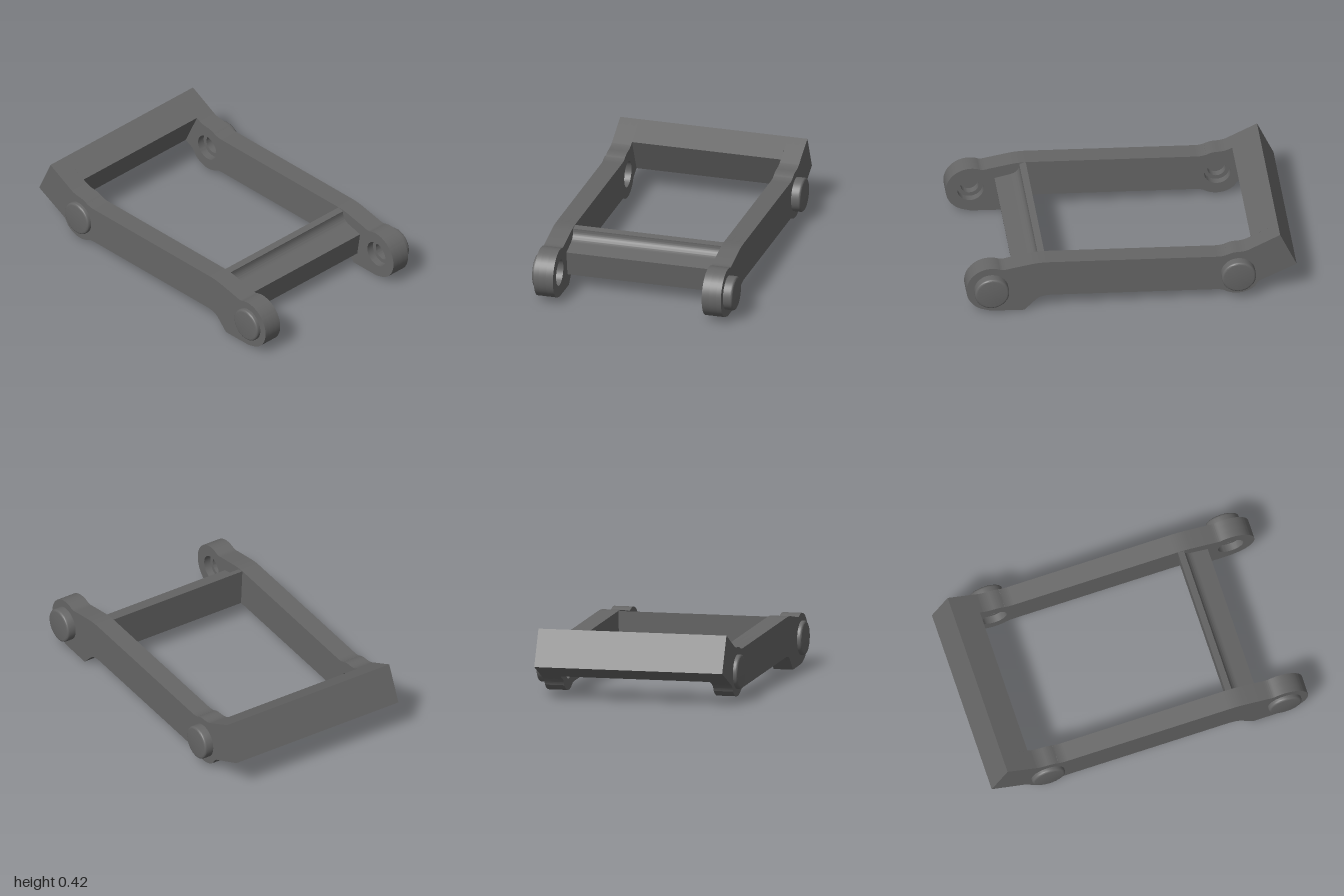
import * as THREE from 'three';
import { toCreasedNormals } from 'three/addons/utils/BufferGeometryUtils.js';

const material = new THREE.MeshStandardMaterial({ color: 0x666666, side: THREE.DoubleSide });
const PIVOT_Y = 0.167;
const PIVOTS = [-0.645, 0.85];

// Side outline of an arm, with optional round holes at both pivots
function armShape(holeRadius) {
  const s = new THREE.Shape();
  s.moveTo(-1, 0.2);
  s.lineTo(-0.78, 0.1);
  s.quadraticCurveTo(-0.76, 0.085, -0.748, 0.059);
  s.absarc(-0.645, PIVOT_Y, 0.149, 3.95, 5.2, false);
  s.quadraticCurveTo(-0.55, 0.053, -0.51, 0.054);
  s.lineTo(0.48, 0.097);
  s.quadraticCurveTo(0.55, 0.1, 0.58, 0.07);
  s.lineTo(0.65, 0);
  s.lineTo(0.85, 0.01);
  s.absarc(0.85, PIVOT_Y, 0.15, -1.35, 2.0, false);
  s.quadraticCurveTo(0.77, 0.3, 0.74, 0.308);
  s.lineTo(0.6, 0.332);
  s.quadraticCurveTo(0.55, 0.34, 0.48, 0.336);
  s.lineTo(-0.52, 0.292);
  s.quadraticCurveTo(-0.55, 0.291, -0.577, 0.3);
  s.absarc(-0.645, PIVOT_Y, 0.149, 1.1, Math.PI / 2, false);
  s.quadraticCurveTo(-0.69, 0.316, -0.72, 0.332);
  s.lineTo(-0.9, 0.42);
  s.closePath();
  if (holeRadius) {
    for (const x of PIVOTS) {
      const hole = new THREE.Path();
      hole.absarc(x, PIVOT_Y, holeRadius, 0, Math.PI * 2, true);
      s.holes.push(hole);
    }
  }
  return s;
}

function extrude(name, shape, zFrom, zTo) {
  const g = new THREE.ExtrudeGeometry(shape, { depth: zTo - zFrom, bevelEnabled: false, curveSegments: 24 });
  g.translate(0, 0, zFrom);
  const mesh = new THREE.Mesh(toCreasedNormals(g, 0.3), material);
  mesh.name = name;
  return mesh;
}

// Arm in three layers: wide bore, narrow bore, closed outer wall
function arm(name, inner, side) {
  const group = new THREE.Group();
  group.name = name;
  const layers = [['boreLayer', 0.08, 0, 0.045], ['narrowBoreLayer', 0.055, 0.045, 0.09], ['outerWall', 0, 0.09, 0.12]];
  for (const [label, radius, from, to] of layers) {
    const a = inner + side * from, b = inner + side * to;
    group.add(extrude(label, armShape(radius), Math.min(a, b), Math.max(a, b)));
  }
  return group;
}

// Round pin head with a softened rim, facing along z
function pinHead(x, z, height, side) {
  const r = 0.104, e = 0.014;
  const profile = [new THREE.Vector2(r, -0.01), new THREE.Vector2(r, height - e)];
  for (let i = 1; i <= 5; i++) {
    const t = (i / 5) * Math.PI / 2;
    profile.push(new THREE.Vector2(r - e + e * Math.cos(t), height - e + e * Math.sin(t)));
  }
  profile.push(new THREE.Vector2(0, height));
  const mesh = new THREE.Mesh(toCreasedNormals(new THREE.LatheGeometry(profile, 48), 0.4), material);
  mesh.rotation.x = side * Math.PI / 2;
  mesh.position.set(x, PIVOT_Y, z);
  mesh.name = 'pinHead';
  return mesh;
}

export function createModel() {
  const model = new THREE.Group();
  model.name = 'linkFrame';

  // Side arms
  model.add(arm('frontArm', 0.48, 1), arm('backArm', -0.45, -1));

  // Tilted end bar joining the arms
  const bar = new THREE.Shape();
  bar.moveTo(-1, 0.2);
  bar.lineTo(-0.835, 0.125);
  bar.lineTo(-0.735, 0.34);
  bar.lineTo(-0.9, 0.42);
  bar.closePath();
  model.add(extrude('endBar', bar, -0.45, 0.48));

  // Cross rib: thin upright lip curving into a sloping shelf
  const rib = new THREE.Shape();
  rib.moveTo(0.53, 0.098);
  rib.lineTo(0.68, 0.083);
  rib.lineTo(0.705, 0.237);
  rib.lineTo(0.61, 0.258);
  rib.bezierCurveTo(0.575, 0.265, 0.552, 0.29, 0.555, 0.329);
  rib.lineTo(0.515, 0.337);
  rib.closePath();
  model.add(extrude('crossRib', rib, -0.45, 0.48));

  // Pin heads, standing taller on the back
  for (const x of PIVOTS) {
    model.add(pinHead(x, 0.6, 0.027, 1), pinHead(x, -0.57, 0.057, -1));
  }
  return model;
}
